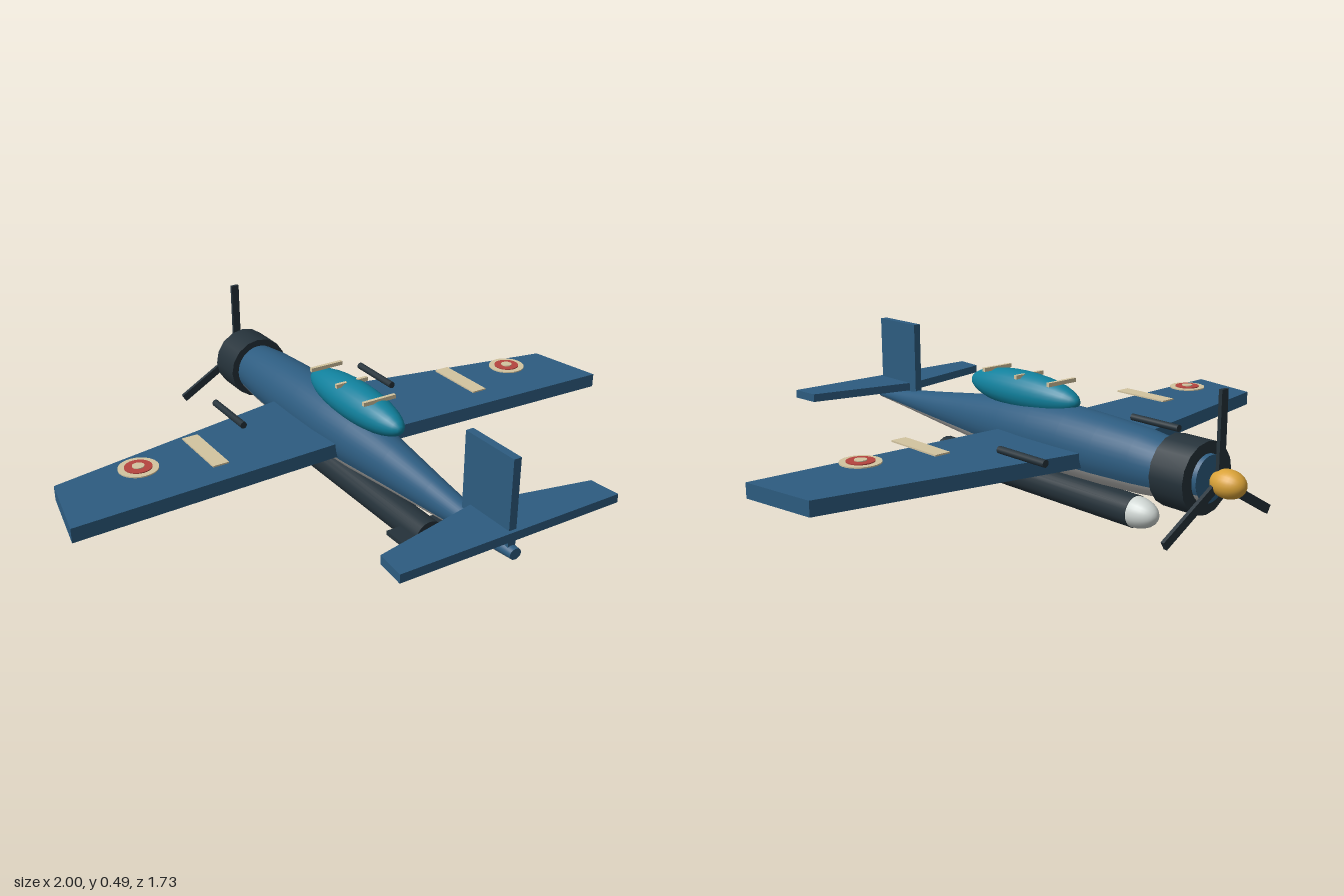
import * as THREE from 'three';

const mat = (name, color) => Object.assign(new THREE.MeshStandardMaterial({ color }), { name });

export function createModel() {
  const blue = mat('navy blue', 0x2d5c80);
  const grey = mat('belly grey', 0xc0c0be);
  const dark = mat('dark metal', 0x25323a);
  const pale = mat('pale grey', 0xcfd6d3);
  const cream = mat('cream', 0xd3c4a0);
  const red = mat('red', 0xb5443f);
  const gold = mat('gold', 0xd9a238);
  const teal = mat('canopy teal', 0x10809c);

  const model = new THREE.Group();
  model.name = 'torpedoPlane';
  const add = (name, geometry, material, x = 0, y = 0, z = 0, parent = model) => {
    const mesh = new THREE.Mesh(geometry, material);
    mesh.name = name;
    mesh.position.set(x, y, z);
    parent.add(mesh);
    return mesh;
  };
  const box = (w, h, d) => new THREE.BoxGeometry(w, h, d);
  const rod = (r, length, sides) => new THREE.CylinderGeometry(r, r, length, sides).rotateX(Math.PI / 2);
  const ellipsoid = (rx, ry, rz) => new THREE.SphereGeometry(1, 24, 16).rotateX(Math.PI / 2).scale(rx, ry, rz);

  // Fuselage sections from nose to tail: z, bottom y, top y, half width
  const sections = [
    [-0.745, 0.150, 0.294, 0.068], [-0.6, 0.130, 0.308, 0.086], [-0.5, 0.120, 0.321, 0.094],
    [-0.35, 0.113, 0.330, 0.101], [-0.2, 0.110, 0.336, 0.104], [-0.05, 0.110, 0.332, 0.103],
    [0.1, 0.116, 0.320, 0.092], [0.3, 0.132, 0.292, 0.068], [0.5, 0.150, 0.264, 0.050],
    [0.7, 0.170, 0.238, 0.034], [0.866, 0.184, 0.218, 0.020],
  ];
  // Skin strip between two angles, so the blue top and grey belly meet along a line
  function skin(from, to, steps) {
    const positions = [], index = [], row = steps + 1;
    for (const [z, low, high, w] of sections) {
      for (let i = 0; i <= steps; i++) {
        const a = from + ((to - from) * i) / steps;
        positions.push(w * Math.cos(a), (low + high) / 2 + ((high - low) / 2) * Math.sin(a), z);
      }
    }
    for (let s = 0; s < sections.length - 1; s++) {
      for (let i = 0; i < steps; i++) {
        const a = s * row + i, b = a + row;
        index.push(a, a + 1, b, a + 1, b + 1, b);
      }
    }
    const g = new THREE.BufferGeometry();
    g.setAttribute('position', new THREE.Float32BufferAttribute(positions, 3));
    g.setIndex(index);
    g.computeVertexNormals();
    return g;
  }
  const edge = Math.PI / 6;
  add('fuselageTop', skin(-edge, Math.PI + edge, 24), blue);
  add('fuselageBelly', skin(Math.PI + edge, 2 * Math.PI - edge, 12), grey);
  [sections[0], sections.at(-1)].forEach(([z, low, high, w], i) => {
    const cap = new THREE.CircleGeometry(1, 32).scale(w, (high - low) / 2, 1);
    if (i === 0) cap.rotateY(Math.PI);
    add(i ? 'tailCap' : 'noseCap', cap, blue, 0, (low + high) / 2, z);
  });
  add('cowling', rod(0.111, 0.125, 16), dark, 0, 0.221, -0.668);

  // Canopy with three crossbars
  add('canopy', ellipsoid(0.068, 0.066, 0.26), teal, 0, 0.347, 0.055);
  for (const z of [-0.125, 0.03, 0.19]) add('canopyBar', box(0.12, 0.013, 0.012), cream, 0, 0.403, z);

  // Flat surfaces: half outline (x, z) mirrored across the centre and given a thickness
  function plate(half, thickness) {
    const right = half.map(([x, z]) => new THREE.Vector2(x, -z));
    const left = half.map(([x, z]) => new THREE.Vector2(-x, -z)).reverse();
    const shape = new THREE.Shape([...right, ...left]);
    return new THREE.ExtrudeGeometry(shape, { depth: thickness, bevelEnabled: false }).rotateX(-Math.PI / 2);
  }
  add('wing', plate([[0.03, -0.325], [0.955, -0.145], [1, 0.117], [0.03, 0.078]], 0.048), blue, 0, 0.177, 0);
  add('tailplane', plate([[0.01, 0.676], [0.377, 0.757], [0.386, 0.86], [0.01, 0.86]], 0.028), blue, 0, 0.242, 0);
  add('tailFin', box(0.026, 0.283, 0.208), blue, 0, 0.351, 0.744);

  // Guns and wing markings on both sides
  for (const side of [-1, 1]) {
    add('gunBarrel', rod(0.012, 0.206, 12), dark, side * 0.297, 0.245, -0.268);
    add('wingStripe', box(0.054, 0.005, 0.22), cream, side * 0.5, 0.266, -0.036);
    const roundel = new THREE.Group();
    roundel.name = 'roundel';
    roundel.position.set(side * 0.72, 0.265, -0.046);
    model.add(roundel);
    [[0.063, cream, 'outerDisc'], [0.043, red, 'redDisc'], [0.019, cream, 'centreDisc']].forEach(([r, m, name], i) =>
      add(name, new THREE.CylinderGeometry(r, r, 0.004, 24), m, 0, i * 0.003, 0, roundel));
  }

  // Three-bladed propeller
  const propeller = new THREE.Group();
  propeller.name = 'propeller';
  propeller.position.set(0, 0.222, -0.777);
  model.add(propeller);
  for (let i = 0; i < 3; i++) {
    const blade = add('blade', box(0.028, 0.27, 0.012).translate(0, 0.135, 0), dark, 0, 0, 0, propeller);
    blade.rotation.z = (i * 2 * Math.PI) / 3;
  }
  add('spinner', ellipsoid(0.043, 0.043, 0.059), gold, 0, 0, -0.03, propeller);

  // Torpedo slung under the belly
  const torpedo = new THREE.Group();
  torpedo.name = 'torpedo';
  torpedo.position.set(0, 0.052, 0);
  model.add(torpedo);
  add('torpedoBody', rod(0.052, 0.935, 20), dark, 0, 0, 0.0075, torpedo);
  add('torpedoNose', ellipsoid(0.05, 0.05, 0.086), pale, 0, 0, -0.459, torpedo);
  add('torpedoFin', box(0.206, 0.014, 0.115), dark, 0, 0.004, 0.448, torpedo);

  return model;
}
